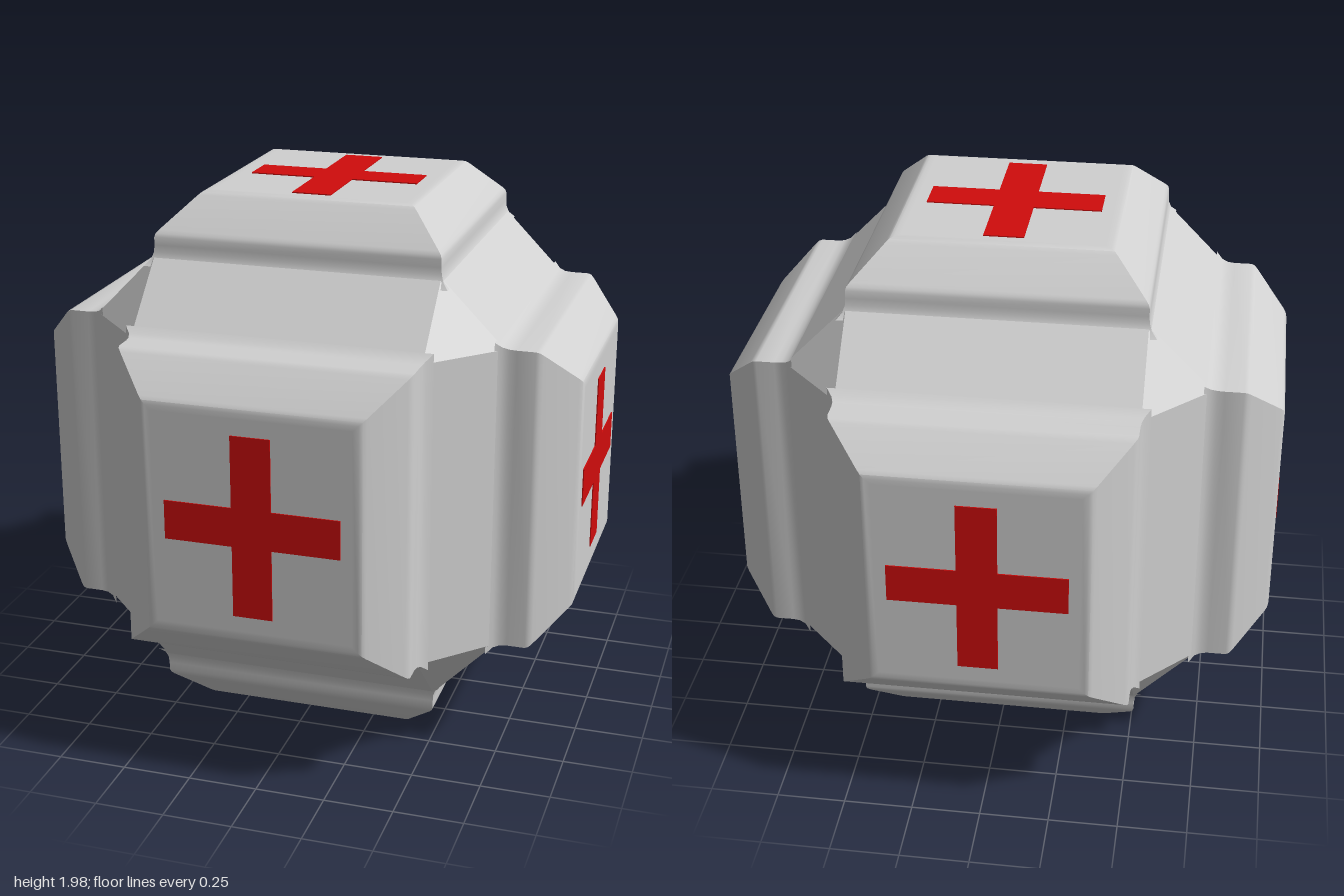
import * as THREE from 'three';
import { toCreasedNormals } from 'three/addons/utils/BufferGeometryUtils.js';
import { ConvexGeometry } from 'three/addons/geometries/ConvexGeometry.js';

const grey = new THREE.MeshStandardMaterial({ color: 0xd0d0d0 });
grey.name = 'lightGrey';
const red = new THREE.MeshStandardMaterial({ color: 0xd00c0c });
red.name = 'crossRed';

const W = 0.515; // half width of the pads
const H = 0.55; // half height of the upright pads

// Core: a block with wide chamfers joining the bases of the six pads
function coreGeometry() {
  const points = [];
  for (const x of [-1, 1]) for (const y of [-1, 1]) for (const z of [-1, 1]) {
    for (const p of [[W, H, 0.75], [W, 0.78, W], [0.74, H, W]]) {
      points.push(new THREE.Vector3(x * p[0], y * p[1], z * p[2]));
    }
  }
  return new ConvexGeometry(points);
}

// Pad facing +z: rectangular rings with a flared foot, straight wall and mitred chamfer
function padGeometry(halfU, halfV, base, top) {
  const profile = [
    [0.03, base], [0.01, base + 0.022], [0.002, base + 0.045], [0, base + 0.07],
    [0, top - 0.145], [-0.004, top - 0.132], [-0.014, top - 0.12],
    [-0.12, top - 0.014], [-0.132, top - 0.004], [-0.145, top], [-0.165, top],
  ];
  const corners = [[-1, -1], [1, -1], [1, 1], [-1, 1]];
  const positions = [];
  const index = [];
  for (const [offset, z] of profile) {
    for (const [u, v] of corners) positions.push(u * (halfU + offset), v * (halfV + offset), z);
  }
  for (let r = 0; r < profile.length - 1; r++) {
    for (let i = 0; i < 4; i++) {
      const a = r * 4 + i, b = r * 4 + (i + 1) % 4;
      index.push(a, b, b + 4, a, b + 4, a + 4);
    }
  }
  const c = (profile.length - 1) * 4;
  index.push(c, c + 1, c + 2, c, c + 2, c + 3);
  const geometry = new THREE.BufferGeometry();
  geometry.setAttribute('position', new THREE.Float32BufferAttribute(positions, 3));
  geometry.setIndex(index);
  return toCreasedNormals(geometry, 0.6);
}

// Thin plus-shaped plate
function crossGeometry() {
  const a = 0.07, u = 0.31, v = 0.327;
  const outline = [
    [-a, -v], [a, -v], [a, -a], [u, -a], [u, a], [a, a],
    [a, v], [-a, v], [-a, a], [-u, a], [-u, -a], [-a, -a],
  ].map(([x, y]) => new THREE.Vector2(x, y));
  return new THREE.ExtrudeGeometry(new THREE.Shape(outline), { depth: 0.006, bevelEnabled: false });
}

export function createModel() {
  const model = new THREE.Group();
  model.name = 'medicalCrate';

  const body = new THREE.Group();
  body.name = 'body';
  body.position.y = 1;
  model.add(body);

  const core = new THREE.Mesh(coreGeometry(), grey);
  core.name = 'core';
  body.add(core);

  // Six pads, each carrying a cross: name, rotation, half height, base, top
  const q = Math.PI / 2;
  const sides = [
    ['front', 0, 0, H, 0.72, 0.996],
    ['back', 0, 2 * q, H, 0.72, 0.996],
    ['left', 0, q, H, 0.71, 0.99],
    ['right', 0, -q, H, 0.71, 0.99],
    ['top', -q, 0, W, 0.745, 0.988],
    ['bottom', q, 0, W, 0.745, 0.988],
  ];
  const crossShape = crossGeometry();
  for (const [name, rx, ry, halfV, base, top] of sides) {
    const side = new THREE.Group();
    side.name = name + 'Side';
    side.rotation.set(rx, ry, 0);
    const pad = new THREE.Mesh(padGeometry(W, halfV, base, top), grey);
    pad.name = name + 'Pad';
    const cross = new THREE.Mesh(crossShape, red);
    cross.name = name + 'Cross';
    cross.position.z = top - 0.002;
    side.add(pad, cross);
    body.add(side);
  }
  return model;
}
